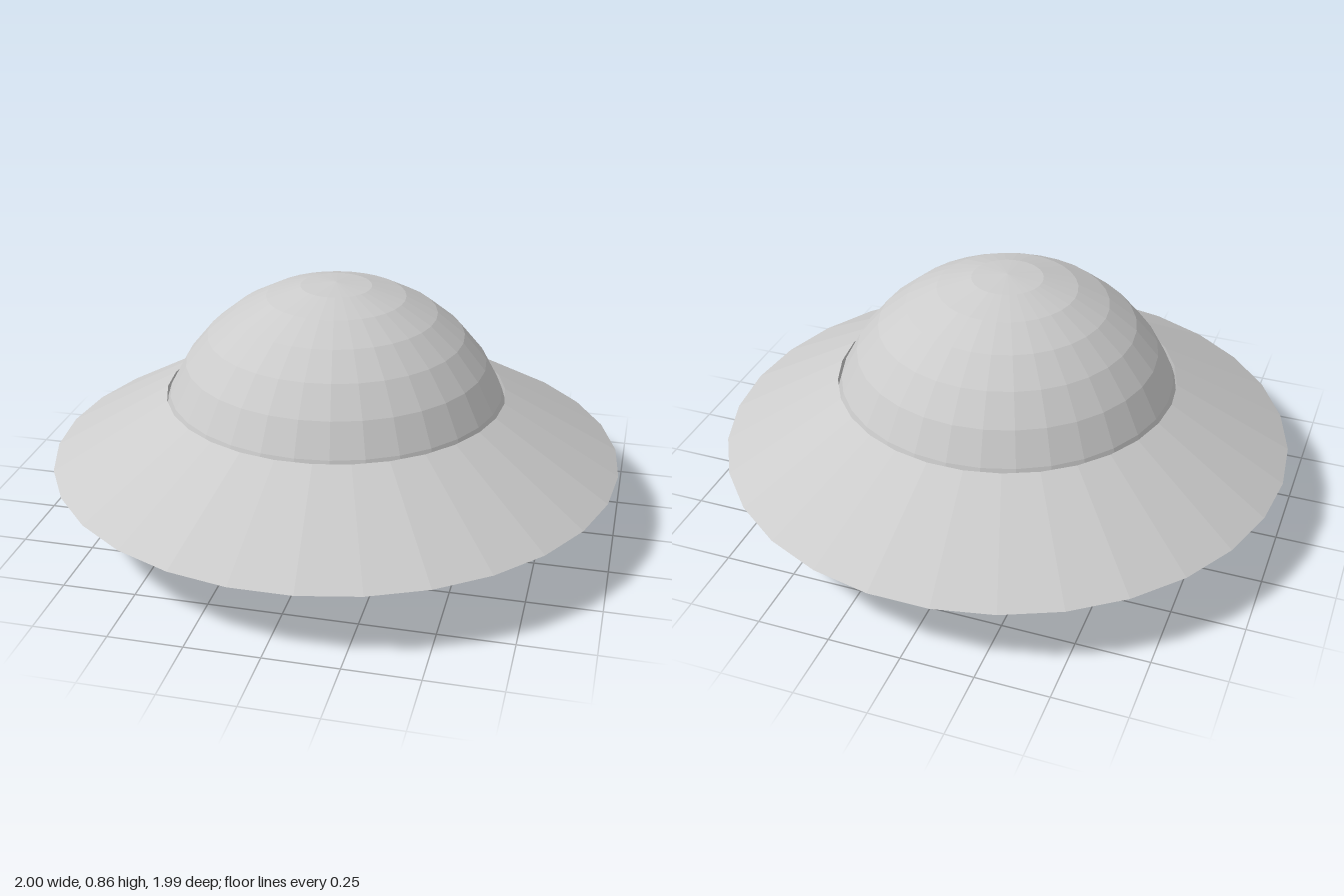
import * as THREE from 'three';

const RING_RADIUS = 0.73;
const TUBE_RADIUS = 0.27;
const DOME_RADIUS = 0.63;
const MID_HEIGHT = TUBE_RADIUS * Math.sin(Math.PI / 3); // half the height of the triangular section

export function createModel() {
  const group = new THREE.Group();
  group.name = 'flyingSaucer';

  const material = new THREE.MeshStandardMaterial({
    color: 0xcccccc,
    flatShading: true,
    side: THREE.DoubleSide,
  });

  // Saucer ring: torus with a three-sided section, sharp edge outwards, open centre
  const ring = new THREE.Mesh(
    new THREE.TorusGeometry(RING_RADIUS, TUBE_RADIUS, 3, 30).rotateX(Math.PI / 2),
    material,
  );
  ring.name = 'saucerRing';
  ring.position.y = MID_HEIGHT;

  // Dome: open hollow hemisphere whose rim is buried inside the ring
  const dome = new THREE.Mesh(
    new THREE.SphereGeometry(DOME_RADIUS, 32, 8, 0, Math.PI * 2, 0, Math.PI / 2),
    material,
  );
  dome.name = 'dome';
  dome.position.y = MID_HEIGHT;

  group.add(ring, dome);
  return group;
}
